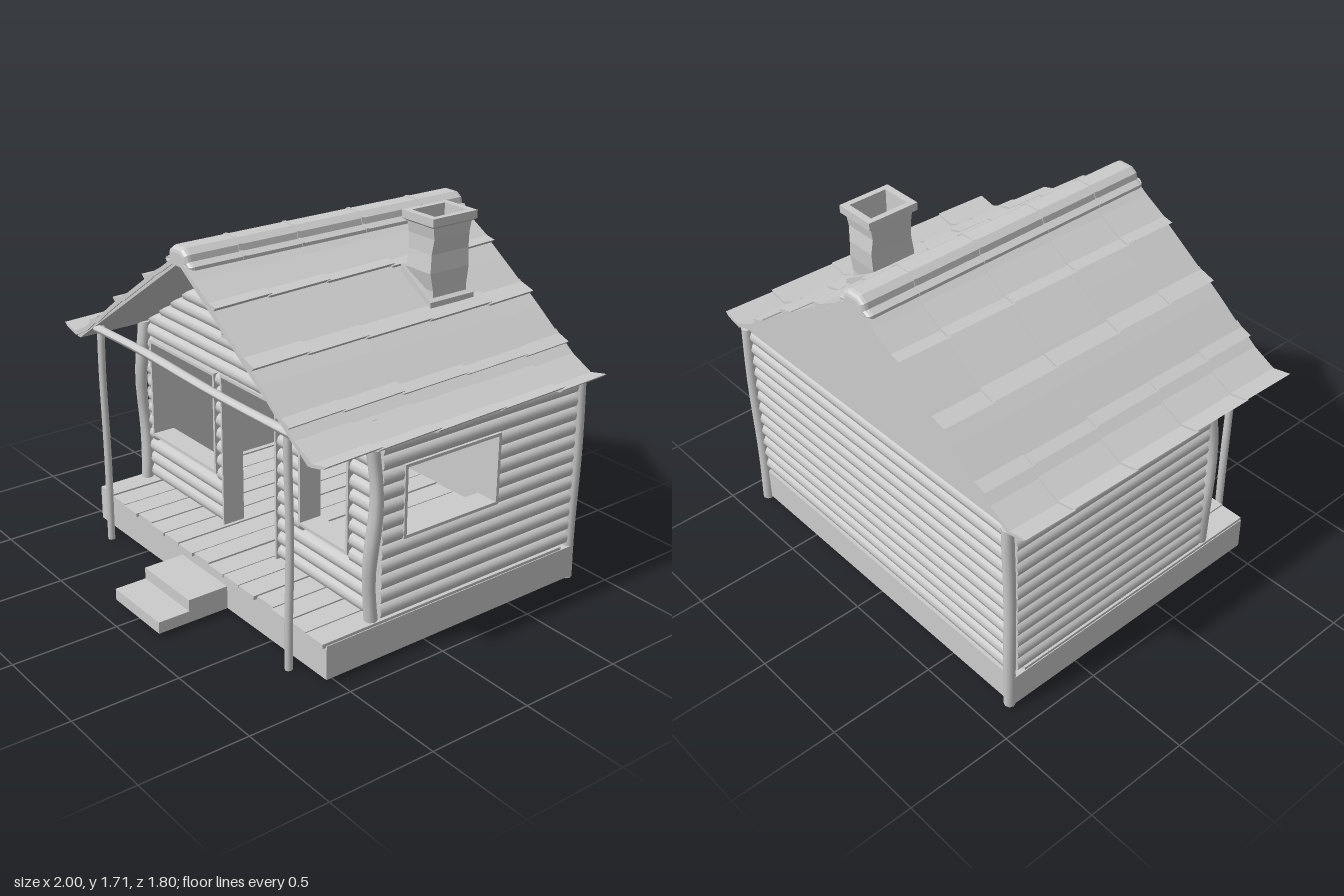
import * as THREE from 'three';

const grey = new THREE.MeshStandardMaterial({ color: 0xcccccc, side: THREE.DoubleSide });

let seed = 7;
const rnd = () => (seed = (seed * 16807) % 2147483647) / 2147483647;

function add(parent, name, geometry) {
  const mesh = new THREE.Mesh(geometry, grey);
  mesh.name = name;
  parent.add(mesh);
  return mesh;
}

// Box given by its limits on each axis
function box(parent, name, x0, x1, y0, y1, z0, z1) {
  const m = add(parent, name, new THREE.BoxGeometry(x1 - x0, y1 - y0, z1 - z0));
  m.position.set((x0 + x1) / 2, (y0 + y1) / 2, (z0 + z1) / 2);
  return m;
}

const shapeOf = pts => new THREE.Shape(pts.map(p => new THREE.Vector2(p[0], p[1])));
const rect = ([a, b, c, d]) => [[a, c], [b, c], [b, d], [a, d]];

function extrude(parent, name, pts, z0, z1, holes = []) {
  const shape = shapeOf(pts);
  shape.holes = holes.map(h => shapeOf(rect(h)));
  const g = new THREE.ExtrudeGeometry(shape, { depth: z1 - z0, bevelEnabled: false });
  g.translate(0, 0, z0);
  return add(parent, name, g);
}

// Upright trunk with a crooked, uneven outline
function trunk(parent, name, x, z, y0, y1, r, bend, phase) {
  const g = new THREE.CylinderGeometry(r, r, y1 - y0, 8, 10);
  const p = g.attributes.position;
  for (let i = 0; i < p.count; i++) {
    const t = p.getY(i) / (y1 - y0) * 6 + phase;
    const k = 1 + 6 * bend * Math.sin(t * 1.7);
    p.setX(i, p.getX(i) * k + bend * Math.sin(t));
    p.setZ(i, p.getZ(i) * k + bend * Math.cos(t * 1.3));
  }
  g.computeVertexNormals();
  const m = add(parent, name, g);
  m.position.set(x, (y0 + y1) / 2, z);
  return m;
}

// Rows of logs along local x, interrupted by openings [x0, x1, y0, y1]
const PITCH = 0.0675;
function logRows(parent, y0, y1, halfAt, shift, z, openings) {
  for (let y = y0 + PITCH / 2; y < y1; y += PITCH) {
    const h = halfAt(y);
    let spans = [[shift - h, shift + h]];
    for (const [a, b, c, d] of openings) {
      if (y < c - 0.01 || y > d + 0.01) continue;
      spans = spans.flatMap(([s, e]) => [[s, Math.min(e, a)], [Math.max(s, b), e]]);
    }
    for (const [s, e] of spans) {
      if (e - s < 0.02) continue;
      const g = new THREE.CylinderGeometry(0.037, 0.037, e - s, 10);
      g.rotateZ(Math.PI / 2);
      add(parent, 'wallLog', g).position.set((s + e) / 2, y, z);
    }
  }
}

// Thin lining around an opening
function frame(parent, name, [a, b, c, d], z0, z1, t = 0.014) {
  extrude(parent, name, rect([a, b, c, d]), z0, z1, [[a + t, b - t, c + t, d - t]]);
}

function makeWalls(house) {
  // Front wall and gable, with doorway, two windows and attic window
  const front = new THREE.Group();
  front.name = 'frontWall';
  const windows = [[-0.81, -0.26, 0.43, 0.93], [0.37, 0.71, 0.43, 0.93], [-0.195, 0.195, 1.125, 1.395]];
  const door = [-0.21, 0.21, 0.18, 0.94];
  extrude(front, 'frontWallCore', [[-0.86, 0.18], [-0.21, 0.18], [-0.21, 0.94], [0.21, 0.94], [0.21, 0.18],
    [0.86, 0.18], [0.86, 1.01], [0, 1.58], [-0.86, 1.01]], 0.2, 0.25, windows);
  logRows(front, 0.19, 1.56, y => Math.min(0.85, (1.58 - y) * 1.5), 0, 0.25, [...windows, door]);
  windows.forEach(w => frame(front, 'windowFrame', w, 0.18, 0.292));
  box(front, 'doorJamb', -0.212, -0.2, 0.19, 0.94, 0.18, 0.292);
  box(front, 'doorJamb', 0.2, 0.212, 0.19, 0.94, 0.18, 0.292);
  box(front, 'doorLintel', -0.212, 0.212, 0.93, 0.944, 0.18, 0.292);

  // Side walls: local x runs to the back on the left wall, to the front on the right one
  for (const side of [1, -1]) {
    const wall = new THREE.Group();
    wall.name = side > 0 ? 'leftWall' : 'rightWall';
    const holes = side > 0 ? [[-0.15, 0.38, 0.54, 0.875]] : [];
    extrude(wall, 'sideWallCore', rect([side > 0 ? -0.25 : -0.85, side > 0 ? 0.85 : 0.25, 0.18, 1.01]), 0.81, 0.86, holes);
    logRows(wall, 0.19, 1.0, () => 0.55, side * 0.29, 0.862, holes);
    holes.forEach(w => frame(wall, 'sideWindowFrame', w, 0.79, 0.902));
    wall.rotation.y = side * Math.PI / 2;
    house.add(wall);
  }

  // Back wall with a plain gable
  const back = new THREE.Group();
  back.name = 'backWall';
  extrude(back, 'backWallCore', rect([-0.86, 0.86, 0.18, 1.01]), 0.8, 0.84);
  extrude(back, 'backGable', [[-0.88, 1.0], [0.88, 1.0], [0, 1.585]], 0.83, 0.868);
  logRows(back, 0.19, 1.0, () => 0.86, 0, 0.838, []);
  back.rotation.y = Math.PI;
  house.add(front, back);
}

function makeRoof(house) {
  const roof = new THREE.Group();
  roof.name = 'roof';
  // Sheathing under the tiles
  extrude(roof, 'roofSheathing', [[-0.9, 1.0], [0, 1.6], [0.9, 1.0], [0.875, 0.995], [0, 1.578], [-0.875, 0.995]], -0.875, 0.625);

  // Flared tile courses: upper end, bend, lip
  const courses = [
    [[0.03, 1.595], [0.12, 1.535], [0.23, 1.472], [0.28, 1.462]],
    [[0.2, 1.485], [0.34, 1.39], [0.45, 1.315], [0.54, 1.288]],
    [[0.45, 1.32], [0.58, 1.228], [0.69, 1.145], [0.77, 1.115]],
    [[0.69, 1.155], [0.8, 1.072], [0.91, 1.018], [1.0, 1.037]],
  ];
  const seams = [0.632, 0.364, 0.06, -0.292, -0.632, -0.893];
  for (const side of [1, -1]) {
    for (const course of courses) {
      const pts = [...course, ...course.slice().reverse().map(([x, y], i) => [x - (i ? 0.008 : 0.02), y - 0.018])]
        .map(([x, y]) => [x * side, y]);
      for (let i = 0; i < 5; i++) {
        const a = seams[i], b = seams[i + 1], mid = (a + b) / 2, half = (a - b) / 2;
        const tile = extrude(roof, 'roofTile', pts, -half - (i < 4 ? 0.012 : 0), half);
        tile.position.set(0, 0.004 * rnd(), mid);
        // Each tile's rear end rides over the next one
        const p = tile.geometry.attributes.position;
        for (let k = 0; k < p.count; k++) if (p.getZ(k) < 0) p.setY(k, p.getY(k) + 0.009);
        tile.geometry.computeVertexNormals();
      }
    }
  }

  // Rounded ridge cap with joint bands
  const cap = [[-0.1, 1.57], [-0.1, 1.585], [-0.072, 1.6], [-0.066, 1.628], [-0.035, 1.65]];
  const outline = [...cap, ...cap.slice().reverse().map(([x, y]) => [-x, y])];
  const g = new THREE.ExtrudeGeometry(shapeOf(outline), {
    depth: 1.475, bevelEnabled: true, bevelThickness: 0.025, bevelSize: 0.025, bevelOffset: -0.025, bevelSegments: 3 });
  g.translate(0, 0, -0.868);
  add(roof, 'ridgeCap', g);
  for (const z of seams.slice(1, 5))
    extrude(roof, 'ridgeJoint', outline.map(([x, y]) => [x * 1.04, y + 0.004]), z - 0.007, z + 0.007);
  house.add(roof);
}

// Square tube lofted through [y, half width x, half depth z, x shift, z shift] rings
function squareTube(parent, name, rings) {
  const pos = [], idx = [];
  rings.forEach(([y, w, d, sx = 0, sz = 0], r) => {
    for (const [u, v] of [[-1, 1], [1, 1], [1, -1], [-1, -1]]) pos.push(u * w + sx, y, v * d + sz);
    if (r) for (let i = 0; i < 4; i++) {
      const a = (r - 1) * 4 + i, b = (r - 1) * 4 + (i + 1) % 4;
      idx.push(a, b, b + 4, a, b + 4, a + 4);
    }
  });
  let g = new THREE.BufferGeometry();
  g.setAttribute('position', new THREE.Float32BufferAttribute(pos, 3));
  g.setIndex(idx);
  g = g.toNonIndexed();
  g.computeVertexNormals();
  return add(parent, name, g);
}

function makeChimney(house) {
  const chimney = new THREE.Group();
  chimney.name = 'chimney';
  squareTube(chimney, 'chimneyStack', [
    [1.28, 0.085, 0.1], [1.38, 0.08, 0.096], [1.46, 0.079, 0.11, 0, 0.003], [1.54, 0.074, 0.106, -0.004, -0.004],
    [1.61, 0.082, 0.1], [1.66, 0.084, 0.108], [1.672, 0.1, 0.126], [1.708, 0.1, 0.126],
    [1.708, 0.072, 0.094], [1.4, 0.065, 0.085], [1.4, 0.001, 0.001]]);
  // Sloped flashing lying on the roof
  extrude(chimney, 'chimneyFlashing', [[-0.1, 1.43], [-0.1, 1.465], [0.1, 1.34], [0.1, 1.315]], -0.125, 0.125);
  chimney.position.set(0.38, 0, -0.46);
  house.add(chimney);
}

export function createModel() {
  const house = new THREE.Group();
  house.name = 'cabin';

  // Foundation, steps and floor planks
  box(house, 'foundation', -0.9, 0.9, 0.02, 0.178, -0.87, 0.545);
  box(house, 'upperStep', -0.17, 0.19, 0.02, 0.13, 0.54, 0.745);
  box(house, 'lowerStep', -0.17, 0.19, 0.02, 0.075, 0.74, 0.9);
  const n = 15, w = 1.8 / n;
  for (let i = 0; i < n; i++) {
    const x = -0.9 + i * w, end = 0.545 + 0.02 * rnd();
    box(house, 'floorPlank', x + 0.004, x + w - 0.004, 0.172, 0.187 + 0.005 * rnd(), -0.8, end);
  }

  makeWalls(house);

  // Corner trunks, porch posts and porch beam
  for (const s of [1, -1]) {
    trunk(house, 'frontCornerTrunk', s * 0.873, 0.295, 0.18, 1.01, 0.03, 0.012, s);
    trunk(house, 'backCornerTrunk', s * 0.878, -0.87, 0.01, 1.01, 0.026, 0.003, s);
    trunk(house, 'porchPost', s * 0.72, 0.6, 0, 1.09, 0.018, 0.003, s * 2);
  }
  const beam = trunk(house, 'porchBeam', 0.01, 0.61, 0, 1.5, 0.02, 0.005, 0.5);
  beam.rotation.z = Math.PI / 2;
  beam.position.y = 1.08;

  makeRoof(house);
  makeChimney(house);
  return house;
}
